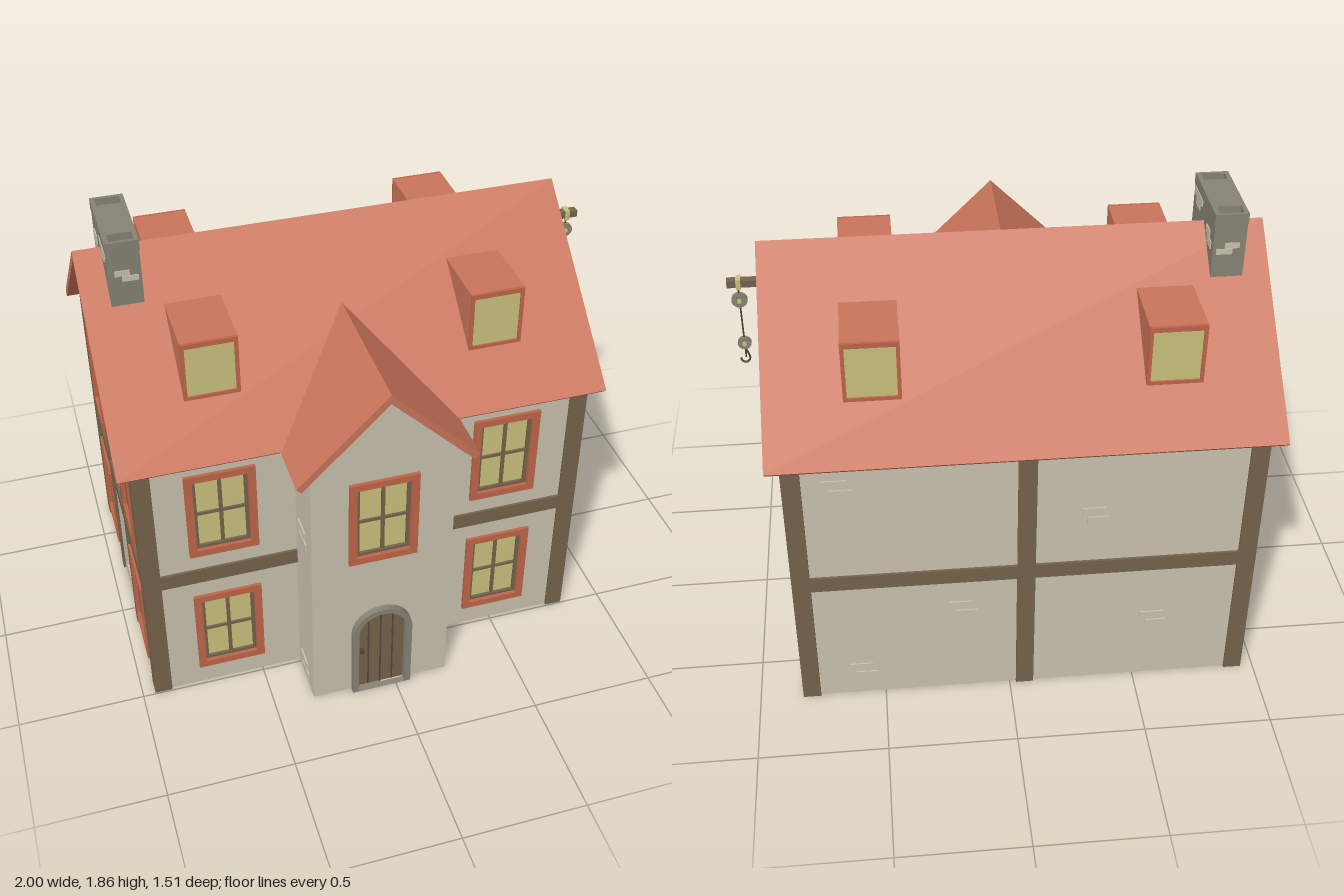
import * as THREE from 'three';

const mat = (name, color) => {
  const m = new THREE.MeshStandardMaterial({ color });
  m.name = name;
  return m;
};
const M = {
  wall: mat('plaster', 0xc8c1ae),
  roof: mat('roofTile', 0xc8745a),
  trim: mat('windowTrim', 0xbf6549),
  wood: mat('timber', 0x75634c),
  dark: mat('darkWood', 0x54473a),
  glass: mat('litGlass', 0xc9c07c),
  stone: mat('stone', 0x868374),
};

function add(parent, name, geo, material, x = 0, y = 0, z = 0) {
  const m = new THREE.Mesh(geo, material);
  m.name = name;
  m.position.set(x, y, z);
  parent.add(m);
  return m;
}
const box = (p, name, material, w, h, d, x, y, z) =>
  add(p, name, new THREE.BoxGeometry(w, h, d), material, x, y, z);
function group(parent, name, x = 0, y = 0, z = 0, ry = 0) {
  const g = new THREE.Group();
  g.name = name;
  g.position.set(x, y, z);
  g.rotation.y = ry;
  parent.add(g);
  return g;
}
const poly = (pts) => new THREE.Shape(pts.map(([x, y]) => new THREE.Vector2(x, y)));
const rect = (x, y, w, h) => poly([
  [x - w / 2, y - h / 2], [x + w / 2, y - h / 2], [x + w / 2, y + h / 2], [x - w / 2, y + h / 2]]);
// Round-headed opening standing on y = y0
function arch(r, y0, top) {
  const s = new THREE.Shape();
  s.moveTo(-r, y0);
  s.lineTo(r, y0);
  s.absarc(0, top - r, r, 0, Math.PI, false);
  s.closePath();
  return s;
}
function extrude(shape, depth, holes = []) {
  shape.holes.push(...holes);
  return new THREE.ExtrudeGeometry(shape, { depth, bevelEnabled: false, curveSegments: 8 });
}
// Roof section: two sloping slabs meeting at the ridge
const chevron = (half, eave, ridge) => poly([
  [half, eave], [0, ridge], [-half, eave], [-half + 0.02, eave - 0.02], [0, ridge - 0.038], [half - 0.02, eave - 0.02]]);

const WIN_W = 0.27, WIN_H = 0.395, ROWS = [0.29, 0.9];
const hole = (x, y) => rect(x, y, WIN_W - 0.04, WIN_H - 0.04);

// Cross-barred window set into a wall whose face is at z = 0
function addWindow(parent, x, y) {
  const g = group(parent, 'window', x, y, 0);
  const w = WIN_W - 0.06, h = WIN_H - 0.06;
  add(g, 'windowFrame', extrude(rect(0, 0, WIN_W, WIN_H), 0.034, [rect(0, 0, w, h)]), M.trim, 0, 0, -0.021);
  add(g, 'windowSash', extrude(rect(0, 0, w, h), 0.018, [rect(0, 0, w - 0.026, h - 0.026)]), M.wood, 0, 0, -0.02);
  box(g, 'windowPane', M.glass, w, h, 0.006, 0, 0, -0.016);
  box(g, 'windowBar', M.wood, 0.014, h, 0.014, 0, 0, -0.012);
  box(g, 'windowBar', M.wood, w, 0.012, 0.014, 0, 0, -0.012);
}

// Pair of staggered bricks showing through the plaster
function addBricks(parent, x, y) {
  box(parent, 'brick', M.wall, 0.09, 0.034, 0.008, x, y + 0.022, 0.002);
  box(parent, 'brick', M.wall, 0.085, 0.034, 0.008, x + 0.02, y - 0.022, 0.002);
}

function addGable(house, side) {
  const g = group(house, side > 0 ? 'leftGable' : 'rightGable', side * 0.88, 0, 0, side * Math.PI / 2);
  const holes = [arch(0.09, 1.18, 1.5)];
  for (const x of [-0.36, 0.36]) for (const y of ROWS) {
    holes.push(hole(x, y));
    addWindow(g, x, y);
  }
  const outline = poly([[-0.59, 0], [0.59, 0], [0.59, 1.185], [0, 1.712], [-0.59, 1.185]]);
  add(g, 'gableWall', extrude(outline, 0.02, holes), M.wall, 0, 0, -0.02);
  // Timber framing
  box(g, 'crossBeam', M.wood, 1.1, 0.06, 0.018, 0, 0.595, 0.001);
  for (const x of [-0.172, 0.172]) box(g, 'gablePost', M.wood, 0.034, 1.55, 0.018, x, 0.775, 0.001);
  // Arched loft hatch
  add(g, 'hatchFrame', extrude(arch(0.105, 1.17, 1.51), 0.03, [arch(0.088, 1.185, 1.493)]), M.dark, 0, 0, -0.02);
  add(g, 'hatchPanel', extrude(arch(0.095, 1.18, 1.5), 0.006), M.stone, 0, 0, -0.015);
  for (const y of [0.92, 0.72, 0.12]) addBricks(g, 0.04, y);
}

function addLongWall(house, side) {
  const front = side > 0;
  const g = group(house, front ? 'frontWall' : 'backWall', 0, 0, side * 0.59, front ? 0 : Math.PI);
  const holes = [];
  if (front) for (const x of [-0.565, 0.565]) for (const y of ROWS) {
    holes.push(hole(x, y));
    addWindow(g, x, y);
  }
  add(g, 'wallPanel', extrude(rect(0, 0.5925, 1.76, 1.185), 0.02, holes), M.wall, 0, 0, -0.02);
  box(g, 'crossBeam', M.wood, 1.7, 0.065, 0.018, 0, 0.597, 0.001);
  if (!front) {
    box(g, 'middlePost', M.wood, 0.07, 1.18, 0.018, 0, 0.59, 0.001);
    for (const [x, y] of [[-0.7, 1.05], [-0.25, 0.42], [0.25, 0.85], [0.5, 0.3], [-0.65, 0.12]]) addBricks(g, x, y);
  }
}

// Projecting entrance bay with its own gable roof
function addBay(house) {
  const g = group(house, 'entranceBay');
  const outline = () => poly([[-0.28, 0], [0.28, 0], [0.28, 1.2], [0, 1.485], [-0.28, 1.2]]);
  add(g, 'bayBody', extrude(outline(), 0.525), M.wall, 0, 0, 0.26);
  add(g, 'bayRoof', extrude(chevron(0.345, 1.175, 1.517), 0.6), M.roof, 0, 0, 0.262);
  const f = group(g, 'bayFront', 0, 0, 0.805);
  add(f, 'bayFrontWall', extrude(outline(), 0.02, [hole(0, 0.9), arch(0.11, 0.001, 0.43)]), M.wall, 0, 0, -0.02);
  addWindow(f, 0, 0.9);
  // Arched door
  add(f, 'doorSurround', extrude(arch(0.122, 0, 0.443), 0.045, [arch(0.098, 0.001, 0.419)]), M.stone, 0, 0, -0.019);
  add(f, 'door', extrude(arch(0.105, 0, 0.425), 0.012), M.wood, 0, 0, -0.018);
  for (const x of [-0.05, 0, 0.05]) box(f, 'doorGroove', M.dark, 0.006, x ? 0.395 : 0.415, 0.004, x, x ? 0.2 : 0.208, -0.005);
  box(f, 'doorHandle', M.dark, 0.014, 0.018, 0.018, -0.079, 0.21, 0.002);
  for (const s of [-1, 1]) {
    const side = group(g, 'baySide', s * 0.28, 0, 0.7, s * Math.PI / 2);
    for (const y of s > 0 ? [1.015, 0.1] : [0.79, 0.07]) addBricks(side, -0.02, y);
  }
}

function addDormer(house, x, side) {
  const g = group(house, 'dormer', 0, 0, 0, side > 0 ? 0 : Math.PI);
  // Wedge with a flat top running back into the roof slope
  const wedge = extrude(poly([[0.455, 1.335], [0.455, 1.585], [0.18, 1.585]]), 0.21);
  wedge.rotateY(-Math.PI / 2);
  add(g, 'dormerBody', wedge, M.roof, x + 0.105, 0, 0);
  add(g, 'dormerFrame', extrude(rect(x, 1.4625, 0.21, 0.245), 0.012, [rect(x, 1.46, 0.182, 0.21)]), M.trim, 0, 0, 0.453);
  box(g, 'dormerPane', M.glass, 0.184, 0.212, 0.006, x, 1.46, 0.455);
}

function addChimney(house) {
  const g = group(house, 'chimney', -0.777, 0, 0.003);
  box(g, 'chimneyStack', M.stone, 0.12, 0.32, 0.34, 0, 1.66, 0);
  // Rim with two flues
  const rim = extrude(rect(0, 0, 0.124, 0.342), 0.042, [rect(0, 0.133, 0.09, 0.05), rect(0, -0.133, 0.09, 0.05)]);
  rim.rotateX(-Math.PI / 2);
  add(g, 'chimneyRim', rim, M.stone, 0, 1.818, 0);
  const patches = [[-0.09, 1.803, 0.125], [-0.09, 1.773, 0.06], [0.085, 1.75, 0.055], [0.11, 1.72, 0.06]];
  for (const s of [-1, 1]) {
    for (const [a, y, w] of patches) box(g, 'paleBrick', M.wall, 0.006, 0.03, w, s * 0.061, y, -a * s * s);
    box(g, 'paleBrick', M.wall, 0.055, 0.022, 0.006, -0.01, 1.733, s * 0.171);
    box(g, 'paleBrick', M.wall, 0.06, 0.022, 0.006, 0.018, 1.709, s * 0.171);
  }
}

// Loading beam with pulleys, rope and hook on the left gable
function addHoist(house) {
  const g = group(house, 'hoist', 1.02, 0, 0);
  box(g, 'hoistBeam', M.wood, 0.19, 0.028, 0.032, -0.055, 1.58, 0);
  box(g, 'beamBand', M.glass, 0.018, 0.04, 0.042, -0.003, 1.58, 0);
  for (const [y, r] of [[1.505, 0.03], [1.315, 0.026]]) {
    const wheel = new THREE.CylinderGeometry(r, r, 0.016, 14);
    wheel.rotateX(Math.PI / 2);
    add(g, 'pulleyWheel', wheel, M.stone, 0, y, 0);
    const hub = new THREE.CylinderGeometry(0.009, 0.009, 0.03, 8);
    hub.rotateX(Math.PI / 2);
    add(g, 'pulleyHub', hub, M.glass, 0, y, 0);
  }
  add(g, 'rope', new THREE.CylinderGeometry(0.0035, 0.0035, 0.32, 6), M.dark, 0, 1.41, 0);
  const hook = new THREE.CatmullRomCurve3([[0, 1.29], [-0.01, 1.265], [-0.014, 1.24], [0.002, 1.226], [0.018, 1.236], [0.02, 1.25]]
    .map(([x, y]) => new THREE.Vector3(x, y, 0)));
  add(g, 'hook', new THREE.TubeGeometry(hook, 14, 0.004, 6), M.dark);
}

export function createModel() {
  const model = new THREE.Group();
  model.name = 'townHouse';
  const house = group(model, 'house', -0.06, 0, -0.105);
  for (const s of [-1, 1]) {
    addGable(house, s);
    addLongWall(house, s);
    for (const x of [-0.545, 0.545]) addDormer(house, x, s);
    for (const t of [-1, 1]) box(house, 'cornerPost', M.wood, 0.07, 1.19, 0.066, s * 0.855, 0.595, t * 0.567);
  }
  // Upper floor, seen through the open base
  box(house, 'upperFloor', M.wood, 1.72, 0.02, 1.14, 0, 0.56, 0);
  const roof = extrude(chevron(0.65, 1.178, 1.75), 1.88);
  roof.rotateY(Math.PI / 2);
  add(house, 'mainRoof', roof, M.roof, -0.94, 0, 0);
  addBay(house);
  addChimney(house);
  addHoist(house);
  return model;
}
